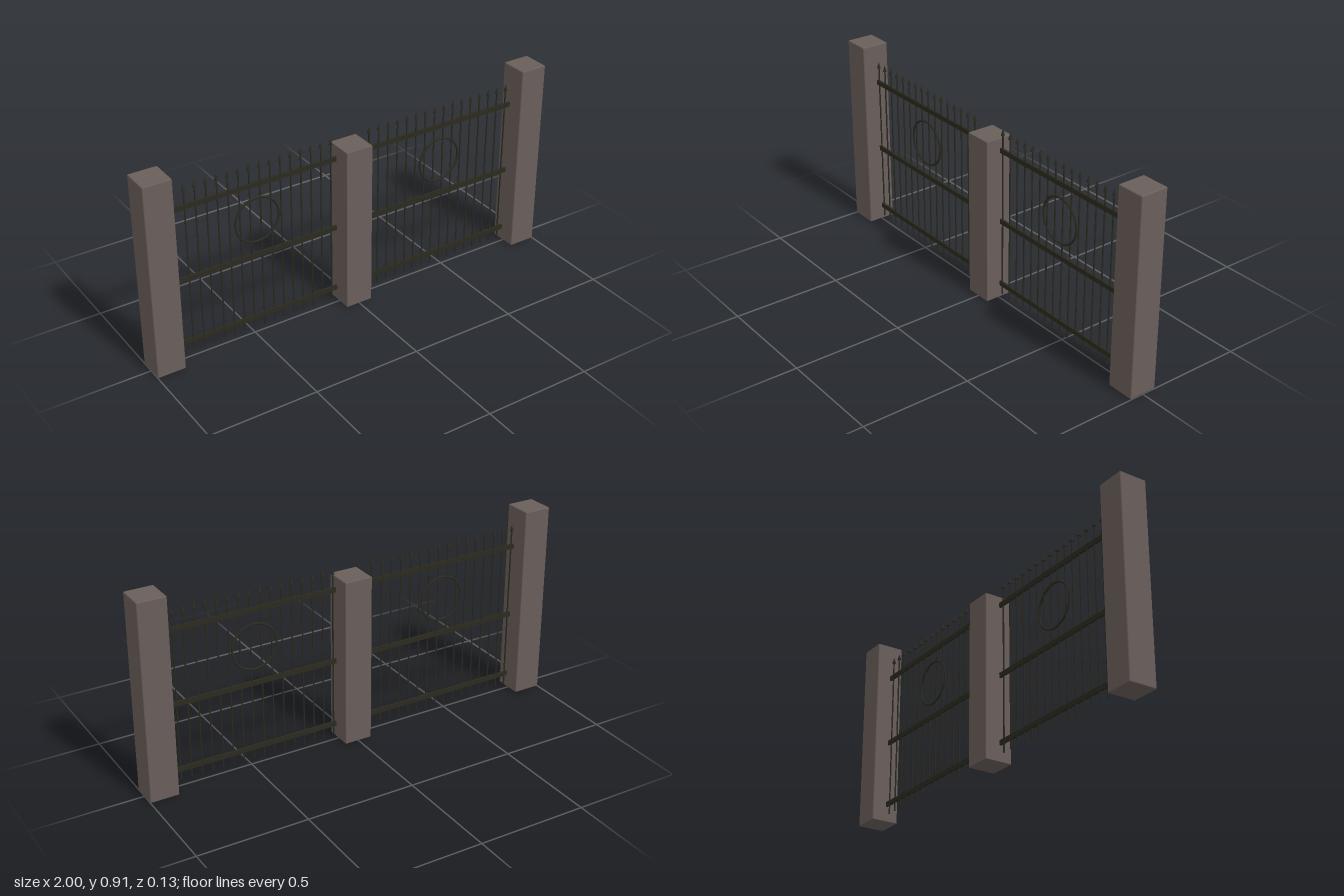
import * as THREE from 'three';
import { RoundedBoxGeometry } from 'three/addons/geometries/RoundedBoxGeometry.js';

const stone = new THREE.MeshStandardMaterial({ color: 0x695e5a });
stone.name = 'brown stone';
const iron = new THREE.MeshStandardMaterial({ color: 0x2a2a20 });
iron.name = 'dark olive iron';

function add(parent, name, geometry, material, x, y) {
  const mesh = new THREE.Mesh(geometry, material);
  mesh.name = name;
  mesh.position.set(x, y, 0);
  parent.add(mesh);
}

// One fence panel, centred on x = 0
function createPanel(name) {
  const panel = new THREE.Group();
  panel.name = name;

  // Three horizontal rails
  const railGeometry = new THREE.BoxGeometry(0.78, 0.022, 0.01);
  for (const y of [0.08, 0.39, 0.728]) add(panel, 'rail', railGeometry, iron, 0, y);

  // Sixteen upright bars with spear tips
  const count = 16, spacing = 0.0494, first = -0.377;
  const barGeometry = new THREE.CylinderGeometry(0.0035, 0.0035, 0.78, 8);
  const tipGeometry = new THREE.ConeGeometry(0.009, 0.03, 8);
  for (let i = 0; i < count; i++) {
    const x = first + i * spacing;
    add(panel, 'bar', barGeometry, iron, x, 0.418);
    add(panel, 'spearTip', tipGeometry, iron, x, 0.817);
  }

  // Decorative ring
  add(panel, 'ring', new THREE.TorusGeometry(0.104, 0.005, 8, 48), iron, 0, 0.559);
  return panel;
}

export function createModel() {
  const model = new THREE.Group();
  model.name = 'gate';

  // Tall end posts and a shorter middle post
  const tall = new RoundedBoxGeometry(0.13, 0.908, 0.13, 2, 0.005);
  for (const x of [-0.935, 0.935]) add(model, 'endPost', tall, stone, x, 0.454);
  add(model, 'middlePost', new RoundedBoxGeometry(0.13, 0.778, 0.13, 2, 0.003), stone, 0, 0.389);

  // Two identical panels between the posts
  for (const [name, x] of [['rightPanel', -0.468], ['leftPanel', 0.467]]) {
    const panel = createPanel(name);
    panel.position.x = x;
    model.add(panel);
  }
  return model;
}
